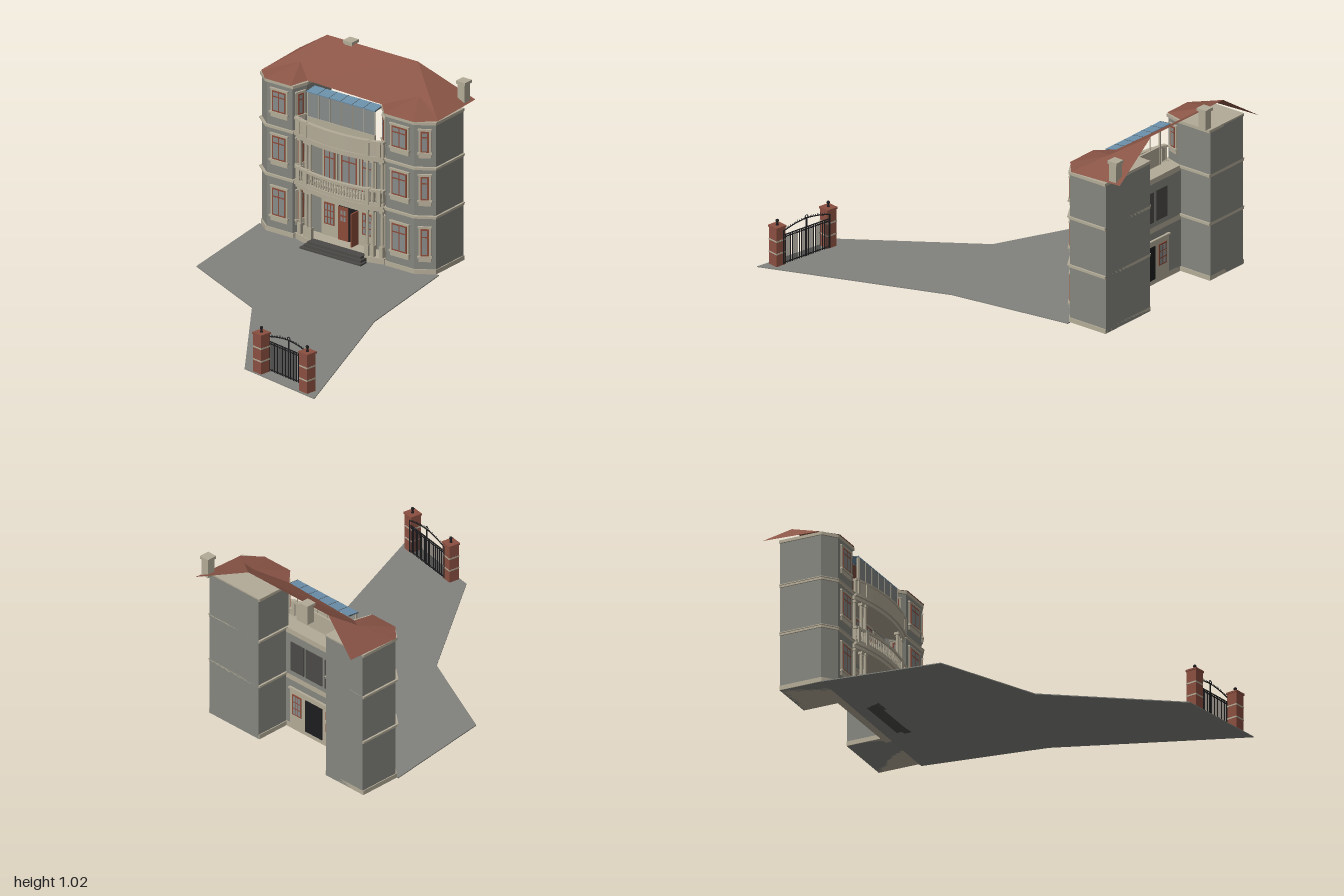
import * as THREE from 'three';

const mat = (name, color, side = THREE.FrontSide) => {
  const m = new THREE.MeshStandardMaterial({ color, side });
  m.name = name;
  return m;
};

export function createModel() {
  const wall = mat('greyRender', 0x85867f), trim = mat('paleStone', 0xb3ab97);
  const tile = mat('roofTile', 0x8a5546, THREE.DoubleSide), wood = mat('redWood', 0x8c4c3a);
  const glass = mat('windowGlass', 0x868a88), sky = mat('blueGlass', 0x6b90ab, THREE.DoubleSide);
  const iron = mat('blackIron', 0x1d1d1f), brick = mat('brick', 0x8a4f40);
  const paving = mat('paving', 0x82827d), dark = mat('darkStone', 0x4b4a47);
  const model = new THREE.Group();
  model.name = 'villaWithGate';

  const add = (parent, name, geo, material, x = 0, y = 0, z = 0) => {
    const m = new THREE.Mesh(geo, material);
    m.name = name;
    m.position.set(x, y, z);
    parent.add(m);
    return m;
  };
  const box = (parent, name, material, w, h, d, x, y, z) =>
    add(parent, name, new THREE.BoxGeometry(w, h, d), material, x, y, z);
  const group = (name, parent = model) => {
    const g = new THREE.Group();
    g.name = name;
    parent.add(g);
    return g;
  };
  // Prism standing on a plan outline of [x, z] points
  const prism = (parent, name, material, pts, y0, y1) => {
    const shape = new THREE.Shape(pts.map(([x, z]) => new THREE.Vector2(x, -z)));
    const geo = new THREE.ExtrudeGeometry(shape, { depth: y1 - y0, bevelEnabled: false });
    return add(parent, name, geo.rotateX(-Math.PI / 2), material, 0, y0, 0);
  };

  // Paved forecourt
  prism(model, 'forecourt', paving, [[-0.8, -0.66], [-0.72, -0.02], [-0.17, 0.24],
    [0.28, 0.9], [0.8, 1], [0.44, 0.01], [0.34, -0.67]], 0, 0.005);

  // Window facing +z: stone surround, wooden frame and panes
  const windowUnit = (parent, name, w, h, cols = 2) => {
    const g = group(name, parent);
    box(g, 'surround', trim, w + 0.024, h + 0.04, 0.01, 0, -0.013, 0.002);
    box(g, 'sill', trim, w + 0.034, 0.01, 0.018, 0, -h / 2 - 0.006, 0.006);
    box(g, 'lintel', trim, w + 0.03, 0.008, 0.014, 0, h / 2 + 0.009, 0.004);
    box(g, 'frame', wood, w, h, 0.012, 0, 0, 0.004);
    const pw = (w - 0.008 * (cols + 1)) / cols, low = h * 0.62, top = h * 0.38 - 0.024;
    for (let i = 0; i < cols; i++) {
      const x = (i - (cols - 1) / 2) * (pw + 0.008);
      box(g, 'lowerPane', glass, pw, low, 0.004, x, -h / 2 + 0.008 + low / 2, 0.009);
      box(g, 'upperPane', glass, pw, top, 0.004, x, h / 2 - 0.008 - top / 2, 0.009);
    }
    return g;
  };

  // Two side wings with angled fronts, bands and windows
  const floors = [[0.18, 0.15], [0.48, 0.13], [0.738, 0.115]];
  const wings = {
    leftHandWing: [[0.32, -0.905], [0.32, -0.67], [0.225, -0.61], [0.05, -0.61], [-0.035, -0.69], [-0.035, -0.905]],
    rightHandWing: [[-0.79, -0.905], [-0.79, -0.67], [-0.715, -0.61], [-0.55, -0.61], [-0.525, -0.7], [-0.525, -0.905]],
  };
  for (const [name, pts] of Object.entries(wings)) {
    const g = group(name);
    const cx = (pts[0][0] + pts[5][0]) / 2;
    // Grow the outline outwards, keeping the back flush
    const grow = (d) => pts.map(([x, z]) => [x + Math.sign(x - cx) * d, z < -0.9 ? z : z + d]);
    prism(g, 'walls', wall, pts, 0.005, 0.84);
    prism(g, 'plinth', trim, grow(0.005), 0.005, 0.03);
    for (const y of [0.312, 0.582]) {
      prism(g, 'band', trim, grow(0.006), y, y + 0.016);
      prism(g, 'bandLip', trim, grow(0.011), y + 0.011, y + 0.016);
    }
    prism(g, 'cornice', trim, grow(0.007), 0.832, 0.848);
    const right = name === 'leftHandWing';
    const faces = [[2, 3, right ? 0.095 : 0.085, 2], [3, 4, 0.035, 1]];
    if (right) faces.push([1, 2, 0.042, 1]);
    for (const [i, j, w, cols] of faces) {
      const [ax, az] = pts[i], [bx, bz] = pts[j];
      const mx = (ax + bx) / 2, mz = (az + bz) / 2;
      let nx = bz - az, nz = ax - bx;
      if (nx * (mx - cx) + nz * (mz + 0.8) < 0) { nx = -nx; nz = -nz; }
      for (const [y, h] of floors) {
        const win = windowUnit(g, 'wingWindow', w, h, cols);
        win.position.set(mx, y, mz);
        win.rotation.y = Math.atan2(nx, nz);
      }
    }
  }

  // Central block: bowed slabs between the wings
  const centre = group('centralBlock');
  const CX = -0.247, HW = 0.283;
  const bow = (x, off = 0) => -0.552 - 0.045 * ((x - CX) / HW) ** 2 - off;
  const curve = (off) => Array.from({ length: 17 }, (_, i) => {
    const x = CX + HW * (i / 8 - 1);
    return [x, bow(x, off)];
  });
  const slab = (name, material, off, y0, y1) =>
    prism(centre, name, material, [[CX - HW, -0.71], ...curve(off), [CX + HW, -0.71]], y0, y1);
  const ring = (name, material, out, inn, y0, y1) =>
    prism(centre, name, material, [...curve(out), ...curve(inn).reverse()], y0, y1);
  slab('terrace', trim, 0.012, 0.005, 0.036);
  for (const y of [0.295, 0.568]) {
    slab('slab', trim, 0.012, y, y + 0.03);
    ring('slabLip', trim, 0, 0.03, y + 0.018, y + 0.032);
  }
  [0.04, 0.027, 0.014].forEach((h, i) =>
    box(centre, 'step', dark, 0.34 + i * 0.025, h, 0.05, CX + 0.005, h / 2, -0.575 + i * 0.016));

  // Balcony balustrade and upper parapet
  const profile = [[0.003, 0], [0.006, 0.018], [0.003, 0.04], [0.005, 0.062]].map(([r, y]) => new THREE.Vector2(r, y));
  const baluster = new THREE.LatheGeometry(profile, 6);
  ring('balconyCurb', trim, 0.004, 0.02, 0.327, 0.342);
  ring('balconyRail', trim, 0.002, 0.022, 0.402, 0.415);
  for (let i = 0; i < 34; i++) {
    const x = CX + HW * ((i + 0.5) / 17 - 1);
    add(centre, 'baluster', baluster, trim, x, 0.341, bow(x, 0.012));
  }
  ring('parapet', trim, 0.006, 0.018, 0.6, 0.674);
  ring('parapetRail', trim, 0, 0.024, 0.672, 0.683);
  for (const x of [-0.505, -0.445, -0.05, 0.012]) {
    box(centre, 'balconyPier', trim, 0.022, 0.09, 0.022, x, 0.372, bow(x, 0.012));
    box(centre, 'parapetPier', trim, 0.022, 0.085, 0.022, x, 0.642, bow(x, 0.012));
  }

  // Columns in pairs on both storeys
  for (const x of [-0.51, -0.46, -0.43, -0.065, -0.035, 0.015]) {
    const z = bow(x, 0.03);
    for (const [y0, y1, ped] of [[0.036, 0.295, 0.06], [0.327, 0.568, 0.085]]) {
      box(centre, 'pedestal', trim, 0.024, ped, 0.024, x, y0 + ped / 2, z);
      box(centre, 'capital', trim, 0.024, 0.014, 0.024, x, y1 - 0.007, z);
      const h = y1 - y0 - ped - 0.014;
      add(centre, 'columnShaft', new THREE.CylinderGeometry(0.008, 0.0095, h, 12), trim, x, y0 + ped + h / 2, z);
    }
  }

  // Recessed wall with ground floor door and windows
  const WZ = -0.7;
  box(centre, 'recessedWall', wall, 0.5, 0.57, 0.02, -0.28, 0.295, WZ);
  for (const side of [1, -1]) {
    const g = group(side > 0 ? 'entranceFront' : 'entranceBack', centre);
    g.position.set(CX, 0, WZ + side * 0.01);
    if (side < 0) g.rotation.y = Math.PI;
    box(g, 'entrancePanel', trim, 0.35, 0.215, 0.008, 0, 0.143, 0.003);
    box(g, 'entranceHead', trim, 0.36, 0.01, 0.016, 0, 0.252, 0.006);
    for (const s of [1, -1]) {
      box(g, 'sideWindowFrame', wood, 0.066, 0.12, 0.01, s * 0.122, 0.16, 0.006);
      for (let i = 0; i < 9; i++)
        box(g, 'sidePane', glass, 0.013, 0.03, 0.004, s * 0.122 + (i % 3 - 1) * 0.019, 0.122 + Math.floor(i / 3) * 0.037, 0.01);
    }
    box(g, 'doorOpening', iron, 0.12, 0.186, 0.01, 0, 0.13, 0.006);
  }
  box(centre, 'doorLeaf', wood, 0.062, 0.184, 0.008, CX - 0.029, 0.129, WZ + 0.022);
  for (const i of [0, 1, 2, 3])
    box(centre, 'doorPane', glass, 0.013, 0.024, 0.004, CX - 0.039 + (i % 2) * 0.02, 0.155 + (i > 1) * 0.035, WZ + 0.025);
  const openLeaf = box(centre, 'openDoorLeaf', wood, 0.06, 0.184, 0.008, CX + 0.058, 0.129, WZ + 0.045);
  openLeaf.rotation.y = Math.PI / 2;

  // Upper floor doors and windows, dark from behind
  for (const [dx, w, h] of [[-0.12, 0.07, 0.2], [0.005, 0.1, 0.21], [0.125, 0.075, 0.2]]) {
    windowUnit(centre, 'balconyDoor', w, h).position.set(CX + dx, 0.335 + h / 2, WZ + 0.01);
    box(centre, 'darkOpening', dark, w + 0.02, 0.17, 0.008, CX + dx, 0.44, WZ - 0.011);
  }

  // Glazed room on the top floor
  const sun = group('glazedRoom');
  box(sun, 'lowWall', trim, 0.43, 0.1, 0.012, -0.245, 0.65, -0.622);
  add(sun, 'glassFront', new THREE.PlaneGeometry(0.43, 0.132), glass, -0.245, 0.766, -0.62);
  for (let i = 0; i <= 6; i++)
    box(sun, 'mullion', trim, 0.003, 0.132, 0.004, -0.46 + i * 0.0717, 0.766, -0.619);
  box(sun, 'endPost', trim, 0.01, 0.235, 0.01, -0.46, 0.717, -0.625);
  const canopy = group('glassCanopy', sun);
  canopy.position.set(-0.25, 0.838, -0.653);
  canopy.rotation.x = 0.12;
  box(canopy, 'canopyGlass', sky, 0.44, 0.005, 0.07, 0, 0, 0);
  for (let i = 0; i <= 6; i++)
    box(canopy, 'canopyBar', dark, 0.002, 0.007, 0.07, -0.219 + i * 0.073, 0, 0);

  // Roof: main front slope, hipped ends and small hips over the wings
  const P = {
    r: [0, 1.01, -0.943], b: [0.325, 0.863, -1], e: [0.325, 0.85, -0.68], p: [0.28, 0.87, -0.735],
    w: [0.125, 0.903, -0.785], m: [-0.035, 0.85, -0.685], f: [0.045, 0.85, -0.598], g: [0.232, 0.85, -0.598],
    R: [-0.58, 1.01, -0.943], B: [-0.8, 0.863, -1], E: [-0.8, 0.85, -0.675], Q: [-0.78, 0.862, -0.695],
    W: [-0.632, 0.903, -0.785], M: [-0.527, 0.85, -0.705], F: [-0.553, 0.85, -0.598], G: [-0.718, 0.85, -0.598],
  };
  const pos = [];
  for (const tri of ['rbe', 'rep', 'rpw', 'rwm', 'rmM', 'rMR', 'RMW', 'RWQ', 'RQE', 'REB',
    'wmf', 'wfg', 'wge', 'wep', 'WMF', 'WFG', 'WGE', 'WEQ']) {
    const [a, b, c] = [...tri].map((k) => P[k]);
    const up = (b[2] - a[2]) * (c[0] - a[0]) - (b[0] - a[0]) * (c[2] - a[2]) > 0;
    pos.push(...a, ...(up ? b : c), ...(up ? c : b));
  }
  const roofGeo = new THREE.BufferGeometry();
  roofGeo.setAttribute('position', new THREE.Float32BufferAttribute(pos, 3));
  roofGeo.computeVertexNormals();
  add(model, 'roof', roofGeo, tile);

  // Chimneys
  for (const [x, top] of [[-0.43, 1.02], [0.292, 0.98]]) {
    box(model, 'chimneyStack', trim, 0.046, 0.11, 0.046, x, top - 0.06, -0.945);
    box(model, 'chimneyCap', trim, 0.058, 0.016, 0.06, x, top - 0.008, -0.945);
  }

  // Gate: brick pillars, iron leaves and arched top rails
  const gate = group('gate');
  gate.position.set(0.542, 0.005, 0.91);
  gate.rotation.y = -0.176;
  const HALF = 0.172;
  for (const s of [-1, 1]) {
    const x = s * HALF;
    box(gate, 'pillar', brick, 0.06, 0.212, 0.06, x, 0.106, 0);
    for (const y of [0.07, 0.14]) box(gate, 'pillarBand', trim, 0.062, 0.008, 0.062, x, y, 0);
    box(gate, 'pillarCap', brick, 0.068, 0.01, 0.068, x, 0.213, 0);
    add(gate, 'lampStem', new THREE.CylinderGeometry(0.004, 0.008, 0.018, 8), iron, x, 0.227, 0);
    add(gate, 'lampGlobe', new THREE.SphereGeometry(0.009, 10, 8), iron, x, 0.243, 0);
  }
  const GZ = -0.03, span = 0.155;
  const arch = (x) => 0.19 + 0.026 * Math.cos((x / span) * Math.PI / 2);
  for (let i = 0; i <= 26; i++) {
    const x = span * (i / 13 - 1), mid = i === 13 || i % 26 === 0;
    const h = mid ? arch(x) : 0.165;
    box(gate, 'bar', iron, mid ? 0.008 : 0.003, h, 0.004, x, h / 2 + 0.004, GZ);
    if (!mid) add(gate, 'spike', new THREE.ConeGeometry(0.003, 0.012, 5), iron, x, arch(x) + 0.007, GZ);
  }
  for (const y of [0.012, 0.155, 0.167]) box(gate, 'rail', iron, span * 2, 0.004, 0.005, 0, y, GZ);
  const archPts = Array.from({ length: 13 }, (_, i) => {
    const x = span * (i / 6 - 1);
    return new THREE.Vector3(x, arch(x), GZ);
  });
  add(gate, 'archRail', new THREE.TubeGeometry(new THREE.CatmullRomCurve3(archPts), 30, 0.003, 6), iron);
  add(gate, 'crestRing', new THREE.TorusGeometry(0.009, 0.0025, 6, 14), iron, 0, 0.225, GZ);
  return model;
}
